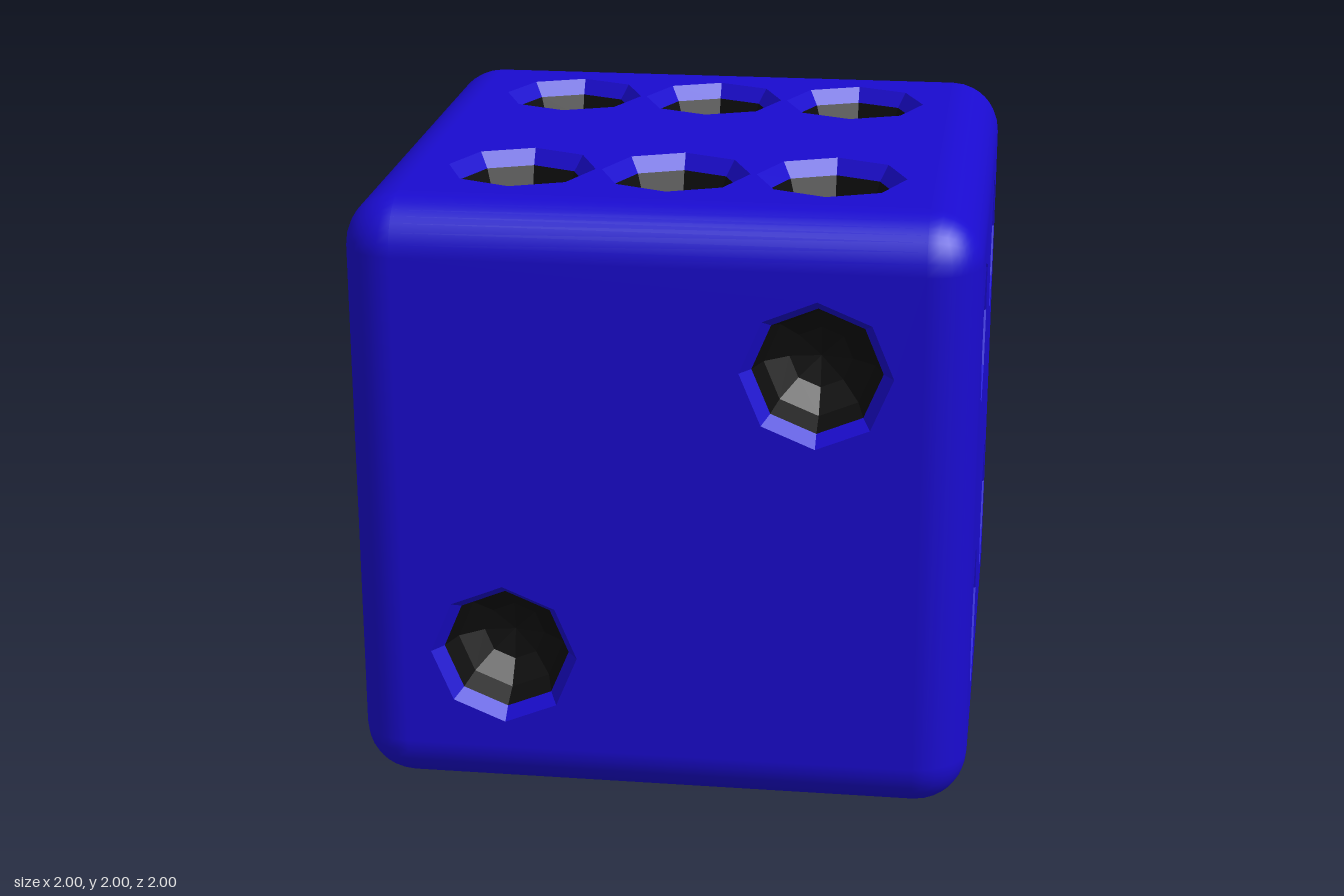
import * as THREE from 'three';
import { RoundedBoxGeometry } from 'three/addons/geometries/RoundedBoxGeometry.js';

const BEVEL = 0.17, FLAT = 1 - BEVEL, RIM = 0.24, SIDES = 8;
const blue = new THREE.MeshStandardMaterial({ color: 0x1a0bd0 });
const blueFacet = new THREE.MeshStandardMaterial({ color: 0x1a0bd0, flatShading: true, side: THREE.DoubleSide });
const black = new THREE.MeshStandardMaterial({ color: 0x0d0d0d, flatShading: true, side: THREE.DoubleSide });

// Rounded edges and corners only: the six flat centres are removed
function roundedEdges() {
  const box = new RoundedBoxGeometry(2, 2, 2, 4, BEVEL);
  const geo = box.index ? box.toNonIndexed() : box;
  const p = geo.attributes.position, n = geo.attributes.normal;
  const pos = [], nor = [];
  for (let i = 0; i < p.count; i += 3) {
    const flat = ['getX', 'getY', 'getZ'].some((get) =>
      [0, 1, 2].every((k) => Math.abs(p[get](i + k)) > 0.9999));
    if (flat) continue;
    for (let k = i; k < i + 3; k++) {
      pos.push(p.getX(k), p.getY(k), p.getZ(k));
      nor.push(n.getX(k), n.getY(k), n.getZ(k));
    }
  }
  const out = new THREE.BufferGeometry();
  out.setAttribute('position', new THREE.Float32BufferAttribute(pos, 3));
  out.setAttribute('normal', new THREE.Float32BufferAttribute(nor, 3));
  return out;
}

// Eight-sided bowl from [radius, depth] pairs, opening towards +z
function bowl(profile) {
  const points = profile.map(([r, d]) => new THREE.Vector2(r, -d));
  return new THREE.LatheGeometry(points, SIDES).rotateX(Math.PI / 2);
}
const rimGeo = bowl([[RIM, 0], [0.205, 0.05]]);
const pitGeo = bowl([[0.205, 0.05], [0.175, 0.13], [0.1, 0.19], [0, 0.21]]);

function named(name, geo, material) {
  const mesh = new THREE.Mesh(geo, material);
  mesh.name = name;
  return mesh;
}

// One flat side with octagonal holes, each filled by a sloped rim and a dark bowl
function face(name, pips) {
  const g = new THREE.Group();
  g.name = name;
  const shape = new THREE.Shape([[-1, -1], [1, -1], [1, 1], [-1, 1]].map(
    ([x, y]) => new THREE.Vector2(x * FLAT, y * FLAT)));
  for (const [x, y] of pips) {
    const ring = [];
    for (let i = 0; i < SIDES; i++) {
      const a = (-i / SIDES) * Math.PI * 2;
      ring.push(new THREE.Vector2(x + RIM * Math.cos(a), y + RIM * Math.sin(a)));
    }
    shape.holes.push(new THREE.Path(ring));
    const rim = named('pipRim', rimGeo, blueFacet);
    const pit = named('pipBowl', pitGeo, black);
    rim.position.set(x, y, 1);
    pit.position.set(x, y, 1);
    g.add(rim, pit);
  }
  const plate = named(name + 'Plate', new THREE.ShapeGeometry(shape), blue);
  plate.position.z = 1;
  g.add(plate);
  return g;
}

export function createModel() {
  const model = new THREE.Group();
  model.name = 'die';
  const body = new THREE.Group();
  body.name = 'body';
  body.position.y = 1;
  model.add(body);
  body.add(named('roundedEdges', roundedEdges(), blue));

  // Pip layouts
  const h = 0.5, q = Math.PI / 2;
  const two = [[h, h], [-h, -h]];
  const four = [...two, [-h, h], [h, -h]];
  const faces = [
    ['frontFace', two, 0, 0],
    ['rightFace', four, 0, q],
    ['leftFace', [...two, [0, 0]], 0, -q],
    ['backFace', [...four, [0, 0]], 0, 2 * q],
    ['topFace', [...four, [0, h], [0, -h]], -q, 0],
    ['bottomFace', [[0, 0]], q, 0],
  ];
  for (const [name, pips, rx, ry] of faces) {
    const f = face(name, pips);
    f.rotation.set(rx, ry, 0);
    body.add(f);
  }
  return model;
}
